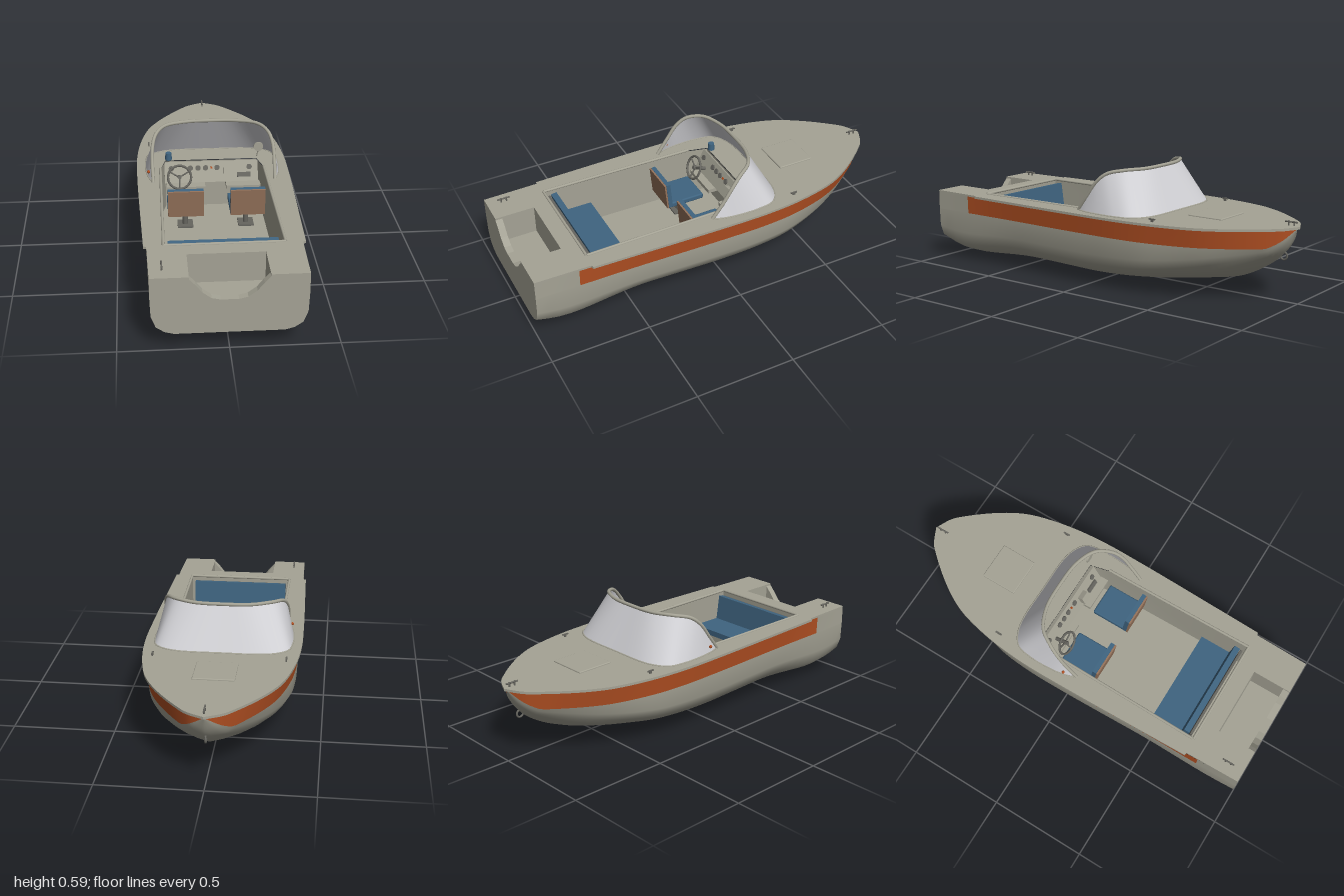
import * as THREE from 'three';
import { toCreasedNormals } from 'three/addons/utils/BufferGeometryUtils.js';
import { RoundedBoxGeometry } from 'three/addons/geometries/RoundedBoxGeometry.js';

const material = (name, color, side = THREE.FrontSide) => {
  const m = new THREE.MeshStandardMaterial({ color, side });
  m.name = name;
  return m;
};
const V = (x, y, z) => new THREE.Vector3(x, y, z);

// Skin over rows of points
function loft(rows) {
  const n = rows[0].length, pos = [], idx = [];
  rows.forEach(r => r.forEach(p => pos.push(p.x, p.y, p.z)));
  for (let j = 0; j < rows.length - 1; j++)
    for (let i = 0; i < n - 1; i++) {
      const a = j * n + i, b = a + n;
      idx.push(a, a + 1, b, a + 1, b + 1, b);
    }
  const g = new THREE.BufferGeometry();
  g.setAttribute('position', new THREE.Float32BufferAttribute(pos, 3));
  g.setIndex(idx);
  g.computeVertexNormals();
  return g;
}

// Hull stations: half width, keel height, z
const SHEER = 0.36, STRIPE_END = 0.78;
const dense = new THREE.CatmullRomCurve3([
  V(.35, .085, 1), V(.352, .05, .9), V(.355, .03, .8), V(.362, .015, .55), V(.372, .006, .2),
  V(.376, .003, 0), V(.376, .015, -.2), V(.358, .04, -.4), V(.312, .068, -.6), V(.265, .093, -.7),
  V(.198, .14, -.8), V(.115, .21, -.9), V(.07, .265, -.945), V(0, .355, -.985),
]).getPoints(160);
function station(z) {
  let i = 1;
  while (i < dense.length - 1 && dense[i].z > z) i++;
  const a = dense[i - 1], b = dense[i];
  const p = a.clone().lerp(b, THREE.MathUtils.clamp((a.z - z) / (a.z - b.z), 0, 1));
  return { w: Math.max(0, p.x), keel: p.y, stripe: Math.max(.27, SHEER - (SHEER - p.y) * .55) };
}
// Section shapes, as fractions of width and of height up to the stripe
const MID = [[0, 0], [.27, .05], [.59, .17], [.75, .27], [.88, .42], [.96, .63], [.975, 1]];
const STERN = [[0, 0], [.4, 0], [.7, 0], [.82, .06], [.93, .2], [.99, .5], [1, 1]];
const BOW = [[0, 0], [.25, .12], [.48, .28], [.63, .43], [.76, .6], [.85, .8], [.92, 1]];
function halfSection(z) {
  const s = station(z);
  const f = THREE.MathUtils.smoothstep(z, .4, 1), g = THREE.MathUtils.smoothstep(-z, .3, .9);
  return MID.map((m, i) => {
    const [u, v] = [0, 1].map(k => m[k] + (STERN[i][k] - m[k]) * f + (BOW[i][k] - m[k]) * g);
    return V(u * s.w, s.keel + v * (s.stripe - s.keel), z);
  });
}
const flip = p => V(-p.x, p.y, p.z);
const bottomSection = z => {
  const h = halfSection(z);
  return [...h.slice(1).reverse(), ...h.map(flip)];
};
const topsideSection = side => z => {
  const low = halfSection(z)[6], high = V(station(z).w, SHEER, z);
  const pts = [high, high.clone().lerp(low, .5), low];
  return side > 0 ? pts : pts.reverse().map(flip);
};

export function createModel() {
  const boat = new THREE.Group();
  boat.name = 'motorboat';
  const paint = material('hullBeige', 0xa5a395);
  const lining = material('liningBeige', 0xa5a395, THREE.DoubleSide);
  const orange = material('stripeOrange', 0xb04f22);
  const blue = material('seatBlue', 0x3f6480);
  const brown = material('seatBackBrown', 0x94725a);
  const metal = material('darkMetal', 0x66655f);
  const glass = material('windshieldGrey', 0xd2d2d6, THREE.DoubleSide);

  const add = (name, geo, mat, x = 0, y = 0, z = 0, parent = boat) => {
    const m = new THREE.Mesh(geo, mat);
    m.name = name;
    m.position.set(x, y, z);
    parent.add(m);
    return m;
  };
  const box = (name, mat, w, h, d, x, y, z, parent) =>
    add(name, new THREE.BoxGeometry(w, h, d), mat, x, y, z, parent);
  const rod = (name, mat, a, b, r, parent) => {
    const m = add(name, new THREE.CylinderGeometry(r, r, a.distanceTo(b), 12), mat, 0, 0, 0, parent);
    m.position.copy(a).lerp(b, .5);
    m.quaternion.setFromUnitVectors(V(0, 1, 0), b.clone().sub(a).normalize());
    return m;
  };

  // Hull bottom, painted stripe and plain stern topsides
  const zs = Array.from({ length: 57 }, (_, i) => 1 - 1.985 * Math.sin(i / 56 * Math.PI / 2));
  add('hullBottom', loft(zs.map(bottomSection)), paint);
  for (const side of [1, -1]) {
    const section = topsideSection(side);
    add('sideStripe', loft([STRIPE_END, ...zs.filter(z => z < STRIPE_END)].map(section)), orange);
    add('sternTopside', loft([...zs.filter(z => z > STRIPE_END), STRIPE_END].map(section)), paint);
  }

  // Transom with the motor notch
  const notch = [[.178, .36], [.15, .33], [.12, .292], [.08, .262], [.04, .253]];
  const transom = new THREE.Shape([
    new THREE.Vector2(.35, SHEER),
    ...bottomSection(1).map(p => new THREE.Vector2(p.x, p.y)),
    new THREE.Vector2(-.35, SHEER),
    ...notch.map(([x, y]) => new THREE.Vector2(-x, y)),
    ...notch.slice().reverse().map(([x, y]) => new THREE.Vector2(x, y)),
  ]);
  add('transom', new THREE.ExtrudeGeometry(transom, { depth: .035, bevelEnabled: false }), paint, 0, 0, .965);

  // Motor well
  for (const s of [1, -1]) box('wellSide', paint, .006, .15, .17, s * .181, .29, .882);
  box('wellFront', paint, .36, .15, .006, 0, .29, .797);
  box('wellFloor', paint, .36, .006, .17, 0, .22, .882);

  // Deck with overhanging lip, well cut-out and cockpit opening
  const edge = [[.178, .8], [.178, 1], [.35, 1], [.356, .72]];
  for (let i = 0; i <= 50; i++) {
    const z = .715 - 1.715 * Math.sin(i / 50 * Math.PI / 2);
    edge.push([station(z * .985).w + .012 * Math.min(1, (1 + z) * 20), z]);
  }
  const deck = new THREE.Shape([
    ...edge.map(([x, z]) => new THREE.Vector2(x, z)),
    ...edge.slice(0, -1).reverse().map(([x, z]) => new THREE.Vector2(-x, z)),
  ]);
  const opening = [[-.275, .71], [.275, .71], [.265, -.1], [.24, -.2], [-.24, -.2], [-.265, -.1]];
  deck.holes.push(new THREE.Path(opening.map(([x, z]) => new THREE.Vector2(x, z))));
  const deckGeo = new THREE.ExtrudeGeometry(deck, { depth: .012, bevelEnabled: false }).rotateX(Math.PI / 2);
  add('deck', toCreasedNormals(deckGeo, .6), paint, 0, .37, 0);

  // Cockpit lining, floor and raised coaming
  const loop = [...opening, opening[0]];
  const walls = loft([.365, .1].map(y => loop.map(([x, z]) => V(x, y, z))));
  add('cockpitWalls', toCreasedNormals(walls, .3), lining);
  box('cockpitFloor', paint, .55, .008, .91, 0, .1, .255);
  for (const s of [1, -1])
    rod('sideCoaming', paint, V(s * .278, .37, .71), V(s * .268, .37, -.1), .007);
  rod('aftCoaming', paint, V(-.278, .37, .712), V(.278, .37, .712), .007);

  // Windshield between the deck curve and the top frame
  const mirrored = half => new THREE.CatmullRomCurve3([...half, ...half.slice(0, -1).reverse().map(flip)]);
  const frame = mirrored([V(-.308, .37, .06), V(-.31, .45, 0), V(-.306, .52, -.05), V(-.288, .563, -.1),
    V(-.24, .58, -.17), V(-.14, .58, -.215), V(0, .58, -.225)]);
  const base = mirrored([V(-.309, .37, .06), V(-.33, .37, 0), V(-.342, .37, -.1), V(-.341, .37, -.19),
    V(-.322, .37, -.275), V(-.24, .37, -.325), V(0, .37, -.336)]);
  add('windshield', loft([base.getPoints(72), frame.getPoints(72)]), glass);
  add('windshieldFrame', new THREE.TubeGeometry(frame, 72, .009, 8), paint);
  add('windshieldSill', new THREE.TubeGeometry(base, 72, .005, 6), paint);

  // Helm seats
  for (const [x, w] of [[-.148, .18], [.165, .175]]) {
    const seat = new THREE.Group();
    seat.name = 'helmSeat';
    seat.position.set(x, 0, 0);
    boat.add(seat);
    add('seatPad', new RoundedBoxGeometry(w, .03, .19, 2, .008), blue, 0, .215, .012, seat);
    box('seatBackPad', blue, w, .145, .022, 0, .278, .112, seat).rotation.x = .1;
    box('seatBackPanel', brown, w, .145, .009, 0, .277, .128, seat).rotation.x = .1;
    add('seatPedestal', new THREE.CylinderGeometry(.014, .014, .1, 12), metal, 0, .15, .02, seat);
    box('seatBasePlate', metal, .08, .008, .08, 0, .108, .02, seat);
  }

  // Rear bench
  box('benchBase', paint, .51, .1, .2, 0, .152, .575);
  box('benchPad', blue, .51, .03, .19, -.003, .215, .565);
  box('benchBack', blue, .51, .145, .03, -.003, .285, .655).rotation.x = .14;
  box('benchTrim', metal, .51, .14, .012, -.003, .28, .683).rotation.x = .1;

  // Dashboard with gauges, lower shelves and box
  const dash = new THREE.Group();
  dash.name = 'dashboard';
  dash.position.set(0, .315, -.165);
  dash.rotation.x = -.45;
  boat.add(dash);
  box('dashPanel', paint, .49, .11, .012, 0, 0, 0, dash);
  for (const x of [-.21, -.11, -.07, -.03, .03, .2])
    add('gauge', new THREE.CylinderGeometry(.014, .014, .008, 16).rotateX(Math.PI / 2), metal, x, .02, .009, dash);
  box('dashSwitch', orange, .01, .01, .008, 0, .02, .009, dash);
  box('controlBox', paint, .05, .045, .03, .09, -.005, .02, dash);
  box('radio', metal, .07, .025, .012, .17, -.02, .01, dash);
  box('leftShelf', paint, .2, .02, .08, -.135, .25, -.14);
  box('rightShelf', paint, .18, .02, .08, .165, .25, -.14);

  // Steering wheel
  const wheel = new THREE.Group();
  wheel.name = 'steeringWheel';
  wheel.position.set(-.17, .325, -.085);
  wheel.rotation.x = -.4;
  boat.add(wheel);
  add('wheelRim', new THREE.TorusGeometry(.06, .006, 8, 32), metal, 0, 0, 0, wheel);
  for (let i = 0; i < 3; i++) {
    const a = Math.PI / 6 + i * Math.PI * 2 / 3;
    rod('wheelSpoke', metal, V(0, 0, -.01), V(Math.cos(a) * .06, Math.sin(a) * .06, 0), .004, wheel);
  }
  rod('wheelColumn', metal, V(0, 0, -.09), V(0, 0, .005), .01, wheel);

  // Compass, mirror and side light
  add('compass', new THREE.CylinderGeometry(.016, .018, .038, 20), blue, -.222, .388, -.215);
  rod('mirrorStem', paint, V(.245, .368, -.225), V(.252, .41, -.215), .003);
  add('mirror', new THREE.CylinderGeometry(.025, .025, .008, 28).rotateX(Math.PI / 2), paint, .252, .43, -.212);
  add('sideLight', new THREE.SphereGeometry(.008, 12, 8), orange, -.33, .4, -.005);

  // Fore hatch and deck fittings
  const hatch = new RoundedBoxGeometry(.2, .012, .19, 3, .005);
  add('foreHatch', hatch, paint, 0, .371, -.545);
  const cleat = (x, z) => {
    for (const s of [-.014, .014]) rod('cleatPost', metal, V(x, .37, z + s), V(x, .393, z + s), .004);
    rod('cleatBar', metal, V(x, .388, z - .032), V(x, .388, z + .032), .004);
  };
  cleat(0, -.955);
  cleat(-.293, .915);
  for (const x of [-.322, .322]) {
    box('chockFoot', metal, .006, .012, .014, x, .375, -.395);
    box('chockTop', metal, .008, .006, .034, x, .383, -.395);
  }
  add('bowEye', new THREE.TorusGeometry(.018, .005, 8, 20).rotateY(Math.PI / 2), metal, 0, .222, -.92);
  return boat;
}
